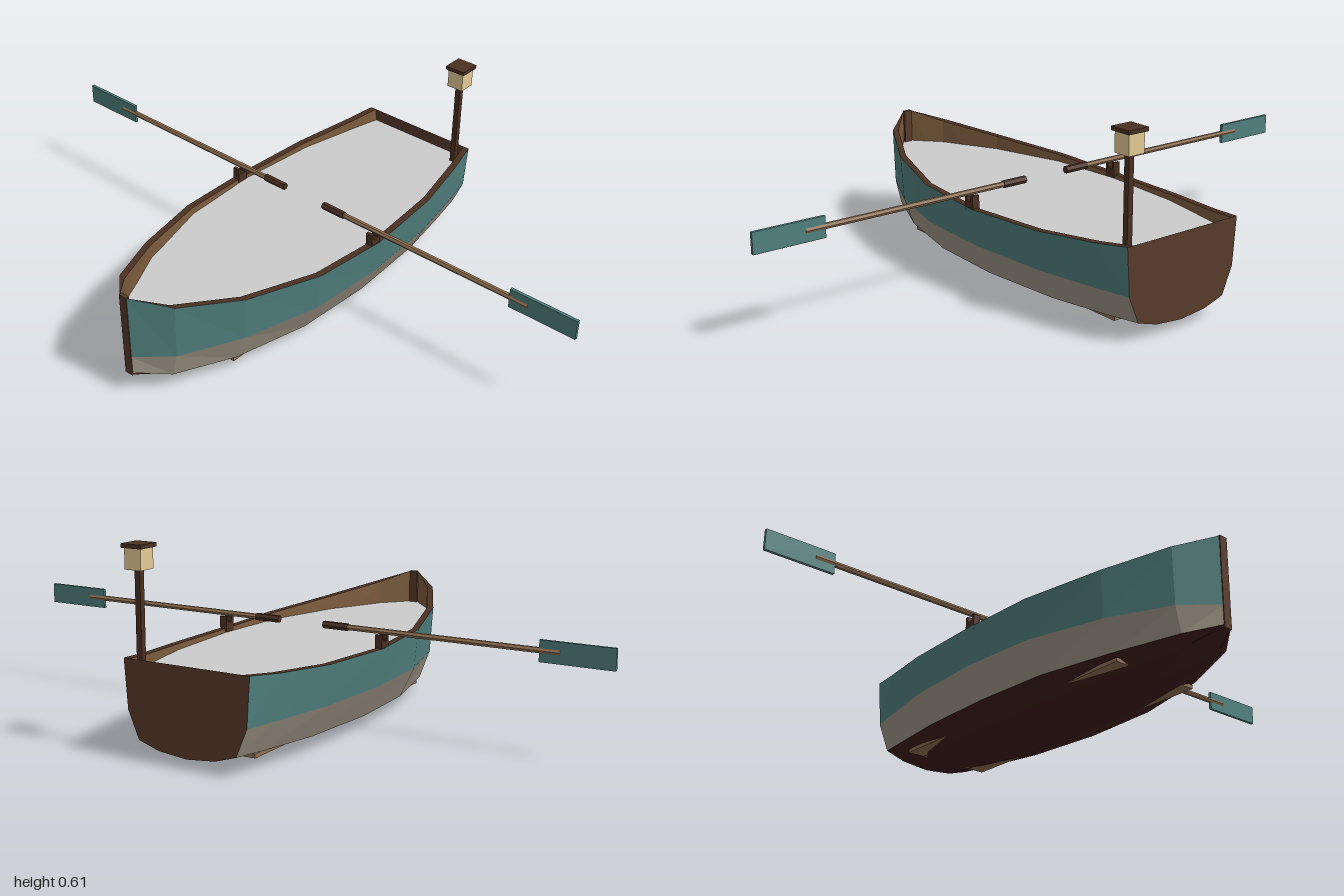
import * as THREE from 'three';

const paint = (color) => new THREE.MeshStandardMaterial({ color, flatShading: true, side: THREE.DoubleSide });
const teal = paint(0x4f7f7d), cream = paint(0x9f9687), maroon = paint(0x3e1d1a);
const brown = paint(0x573a2a), darkWood = paint(0x4a3022), wood = paint(0x7a5a3c);
const oarWood = paint(0x8f7052), glow = paint(0xe2cb94), grey = paint(0xcccccc);

// Hull stations: z, half width at the rim, rim height, chine height, keel height
const STATIONS = [
  [0.69, 0.012, 0.36, 0.085, 0.075],
  [0.6, 0.115, 0.325, 0.065, 0.04],
  [0.41, 0.21, 0.293, 0.051, 0.012],
  [0.16, 0.28, 0.272, 0.047, 0.003],
  [-0.1, 0.295, 0.262, 0.046, 0],
  [-0.38, 0.275, 0.268, 0.05, 0.006],
  [-0.58, 0.235, 0.28, 0.056, 0.02],
  [-0.69, 0.21, 0.292, 0.061, 0.03],
];
const LID_Y = 0.25;

// Half cross-section from rim to keel; inset moves it inwards
function section([z, w, rim, chine, keel], inset = 0) {
  const bow = z > 0.68;
  const t = bow ? 0 : inset;
  const x = (f) => Math.max((bow ? w : w * f) - t, 0);
  return [
    [x(1), rim, z],
    [x(0.95), 0.145, z],
    [x(0.78), chine + t * 0.5, z],
    [x(0.45), keel + (chine - keel) * 0.3 + t * 0.5, z],
    [0, keel + t * 0.5, z],
  ];
}
const outer = STATIONS.map((s) => section(s));
const inner = STATIONS.map((s) => section(s, 0.022));

function mesh(name, geometry, material, x = 0, y = 0, z = 0) {
  const m = new THREE.Mesh(geometry, material);
  m.name = name;
  m.position.set(x, y, z);
  return m;
}
const box = (name, material, w, h, d, x, y, z) => mesh(name, new THREE.BoxGeometry(w, h, d), material, x, y, z);

// Joins pairs of point rows into panels on both sides of the boat
function panels(name, material, pairs) {
  const pos = [];
  for (const [a, b] of pairs) {
    for (const side of [1, -1]) {
      const p = ([x, y, z]) => [x * side, y, z];
      for (let i = 0; i < a.length - 1; i++) {
        const q = [a[i], b[i], b[i + 1], a[i + 1]].map(p);
        const order = side > 0 ? [0, 1, 2, 0, 2, 3] : [0, 2, 1, 0, 3, 2];
        order.forEach((k) => pos.push(...q[k]));
      }
    }
  }
  const g = new THREE.BufferGeometry();
  g.setAttribute('position', new THREE.Float32BufferAttribute(pos, 3));
  g.computeVertexNormals();
  return mesh(name, g, material);
}
const row = (shell, k) => shell.map((s) => s[k]);
const band = (shell, k) => [row(shell, k), row(shell, k + 1)];

// Flat closed outline mirrored about the centre line
function mirroredShape(points) {
  const all = [...points, ...points.slice().reverse().map(([x, y]) => [-x, y])];
  return new THREE.ShapeGeometry(new THREE.Shape(all.map(([x, y]) => new THREE.Vector2(x, y))));
}

function createHull() {
  const hull = new THREE.Group();
  hull.name = 'hull';
  hull.add(panels('upperPlanking', teal, [band(outer, 0)]));
  hull.add(panels('lowerPlanking', cream, [band(outer, 1)]));
  hull.add(panels('bottom', maroon, [band(outer, 2), band(outer, 3)]));
  hull.add(panels('innerPlanking', wood, [0, 1, 2, 3].map((k) => band(inner, k))));
  hull.add(panels('gunwale', darkWood, [[row(inner, 0), row(outer, 0)]]));

  // Flat stern board
  const stern = outer[outer.length - 1].map(([x, y]) => [x, y]);
  const transom = mesh('transom', mirroredShape(stern), brown, 0, 0, -0.69);
  hull.add(transom);

  // Upright post at the bow
  hull.add(box('stem', brown, 0.028, 0.285, 0.012, 0, 0.2185, 0.685));

  // Level cover inside the rim
  const lid = mesh('cover', mirroredShape(inner.map(([[x, , z]]) => [x, -z])), grey, 0, LID_Y, 0);
  lid.rotation.x = -Math.PI / 2;
  hull.add(lid);

  // Floor boards and benches
  for (let i = -2; i <= 2; i++) {
    hull.add(box('floorBoard', oarWood, 0.056, 0.012, 0.99, i * 0.062, 0.034, -0.085));
  }
  for (const [z, w] of [[0.3, 0.42], [-0.2, 0.52], [-0.52, 0.42]]) {
    hull.add(box('bench', wood, w, 0.02, 0.11, 0, 0.175, z));
  }
  return hull;
}

function createOar(side) {
  const oar = new THREE.Group();
  oar.name = side > 0 ? 'leftOar' : 'rightOar';
  const rod = (name, material, r, from, to) => {
    const m = mesh(name, new THREE.CylinderGeometry(r, r, to - from, 6), material, (side * (from + to)) / 2, 0.31, -0.085);
    m.rotation.z = Math.PI / 2;
    return m;
  };
  oar.add(rod('shaft', oarWood, 0.009, 0.1, 0.84));
  oar.add(rod('grip', darkWood, 0.012, 0.08, 0.165));
  oar.add(box('blade', teal, 0.222, 0.064, 0.01, side * 0.889, 0.309, -0.085));
  // Two pins holding the oar on the rim
  for (const dz of [-0.0145, 0.0145]) {
    oar.add(box('oarlockPin', darkWood, 0.024, 0.05, 0.01, side * 0.28, 0.277, -0.085 + dz));
  }
  oar.add(box('oarlockBase', darkWood, 0.024, 0.03, 0.038, side * 0.28, 0.267, -0.085));
  return oar;
}

function createLantern() {
  const lantern = new THREE.Group();
  lantern.name = 'lantern';
  lantern.position.set(0.177, 0, -0.653);
  lantern.add(box('post', darkWood, 0.018, 0.3, 0.018, 0, 0.39, 0));
  lantern.add(box('lamp', glow, 0.056, 0.062, 0.056, 0, 0.57, 0));
  lantern.add(box('cap', darkWood, 0.07, 0.012, 0.07, 0, 0.606, 0));
  return lantern;
}

export function createModel() {
  const boat = new THREE.Group();
  boat.name = 'rowingBoat';
  boat.add(createHull(), createOar(1), createOar(-1), createLantern());
  return boat;
}
